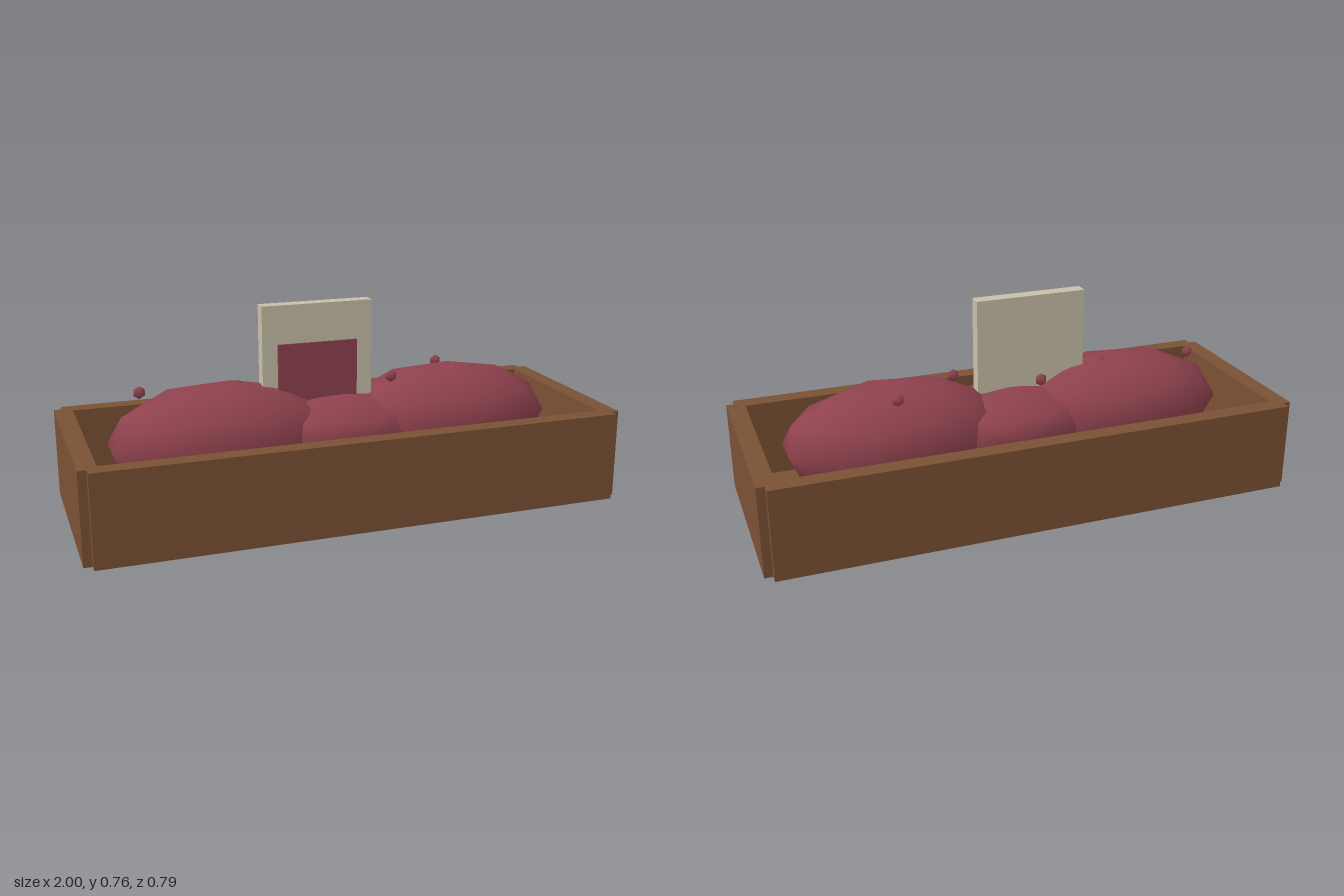
import * as THREE from 'three';

export function createModel() {
  const model = new THREE.Group();
  const wood = new THREE.MeshStandardMaterial({ color: 0x7a5134 });
  wood.name = 'brown wood';
  const card = new THREE.MeshStandardMaterial({ color: 0xc8bfa8 });
  card.name = 'pale card';
  const red = new THREE.MeshStandardMaterial({ color: 0x8f424e });
  red.name = 'dusky red';

  const add = (name, geometry, material, x, y, z) => {
    const mesh = new THREE.Mesh(geometry, material);
    mesh.name = name;
    mesh.position.set(x, y, z);
    model.add(mesh);
    return mesh;
  };
  // Box given by its limits on each axis
  const block = (name, material, [x0, x1], [y0, y1], [z0, z1]) =>
    add(name, new THREE.BoxGeometry(x1 - x0, y1 - y0, z1 - z0), material,
      (x0 + x1) / 2, (y0 + y1) / 2, (z0 + z1) / 2);

  // Open crate: long walls, end walls with stepped corners, floor
  const H = 0.335;
  for (const s of [-1, 1]) {
    add(s > 0 ? 'frontWall' : 'backWall', new THREE.BoxGeometry(1.94, H, 0.065), wood, 0, H / 2, s * 0.3615);
    add(s > 0 ? 'leftWall' : 'rightWall', new THREE.BoxGeometry(0.067, H, 0.72), wood, s * 0.9665, H / 2, 0);
  }
  block('floor', wood, [-0.95, 0.95], [0.004, 0.04], [-0.34, 0.34]);

  // Rounded heaps: smooth low-poly balls with a corner pointing straight up
  const ball = new THREE.IcosahedronGeometry(1, 1);
  ball.rotateZ(-Math.atan(2 / (1 + Math.sqrt(5))));
  const heap = (name, x, rx, ry) => add(name, ball, red, x, 0.278, 0).scale.set(rx, ry, 0.235);
  heap('rightHeap', -0.44, 0.425, 0.21);
  heap('middleHeap', 0, 0.34, 0.137);
  heap('leftHeap', 0.44, 0.425, 0.21);

  // Small loose beads on top
  const bead = new THREE.SphereGeometry(0.0235, 4, 3);
  for (const [x, z] of [[-0.727, -0.038], [-0.375, -0.01], [-0.083, -0.112], [0.205, 0.043], [0.46, -0.12]]) {
    add('bead', bead, red, x, 0.463, z);
  }

  // Upright sign with its stake and a coloured panel on the front
  block('signBoard', card, [-0.29, 0.13], [0.34, 0.757], [-0.021, 0.03]);
  block('signStake', card, [0.0, 0.13], [0, 0.34], [-0.021, 0.03]);
  block('signPanel', red, [-0.233, 0.07], [0.36, 0.614], [0.03, 0.038]);

  return model;
}
